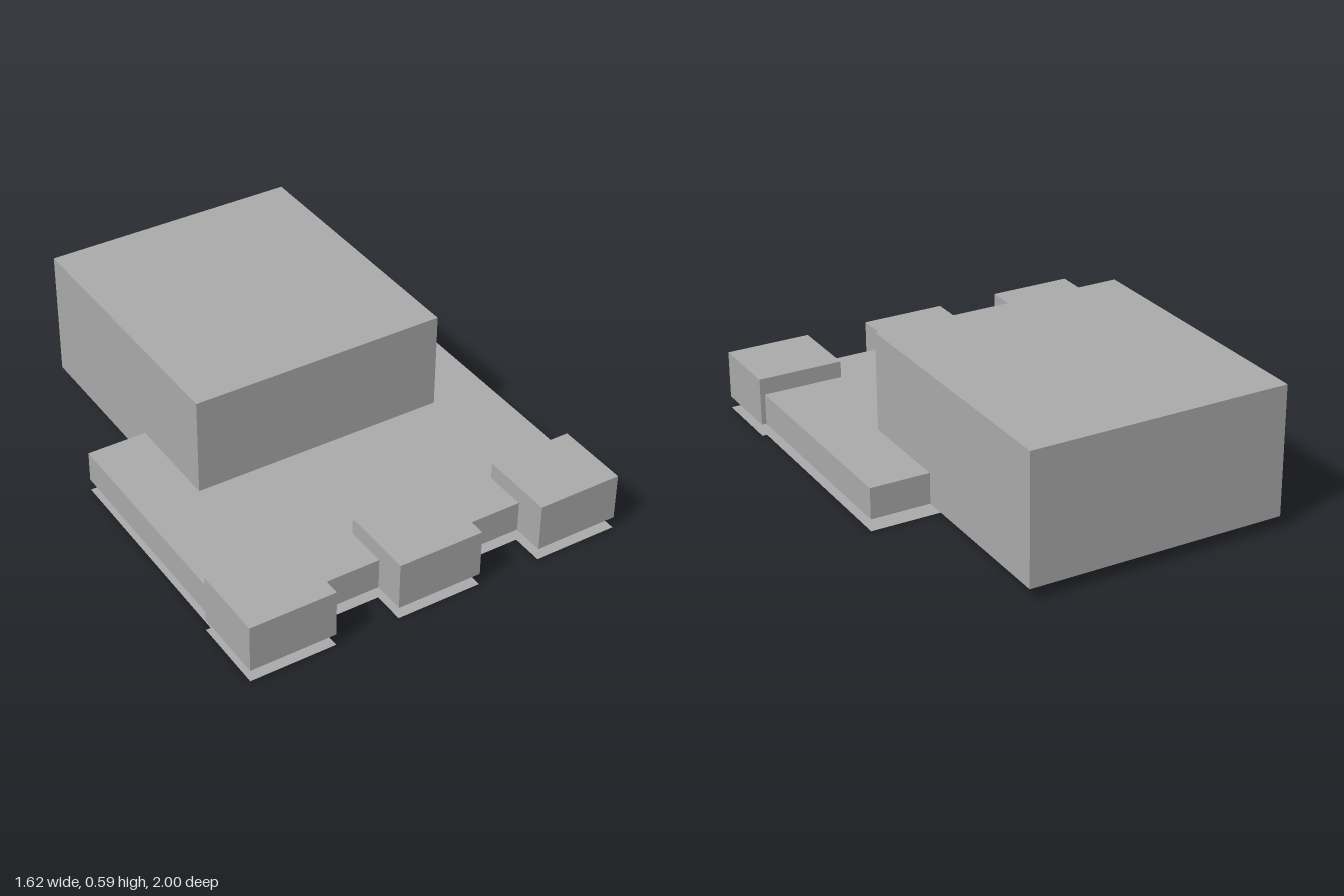
import * as THREE from 'three';

export function createModel() {
  const model = new THREE.Group();
  const grey = new THREE.MeshStandardMaterial({ color: 0xaaaaaa });
  grey.name = 'plain grey';
  grey.side = THREE.DoubleSide;

  const BASE = 0.05; // underside of every block

  // Block given by its x centre, width, top height and z range
  function block(name, x, width, top, z0, z1) {
    const mesh = new THREE.Mesh(new THREE.BoxGeometry(width, top - BASE, z1 - z0), grey);
    mesh.position.set(x, (top + BASE) / 2, (z0 + z1) / 2);
    mesh.name = name;
    model.add(mesh);
  }

  // Flat footprint sheet lying on the ground, facing down
  function sheet(name, x, width, z0, z1) {
    const geometry = new THREE.PlaneGeometry(width, z1 - z0).rotateX(Math.PI / 2);
    const mesh = new THREE.Mesh(geometry, grey);
    mesh.position.set(x, 0, (z0 + z1) / 2);
    mesh.name = name;
    model.add(mesh);
  }

  // Tall rear block
  block('mainBlock', 0, 1.08, 0.59, -1, 0.17);

  // Low slab in front, with its footprint
  block('lowSlab', 0, 1.58, 0.18, -0.26, 0.865);
  sheet('slabFootprint', 0, 1.58, -0.26, 0.865);

  // Three front pads, each with its footprint
  [['right', -0.63], ['middle', 0], ['left', 0.63]].forEach(([side, x]) => {
    block(side + 'Pad', x, 0.36, 0.25, 0.685, 1);
    sheet(side + 'PadFootprint', x, 0.36, 0.685, 1);
  });

  return model;
}
